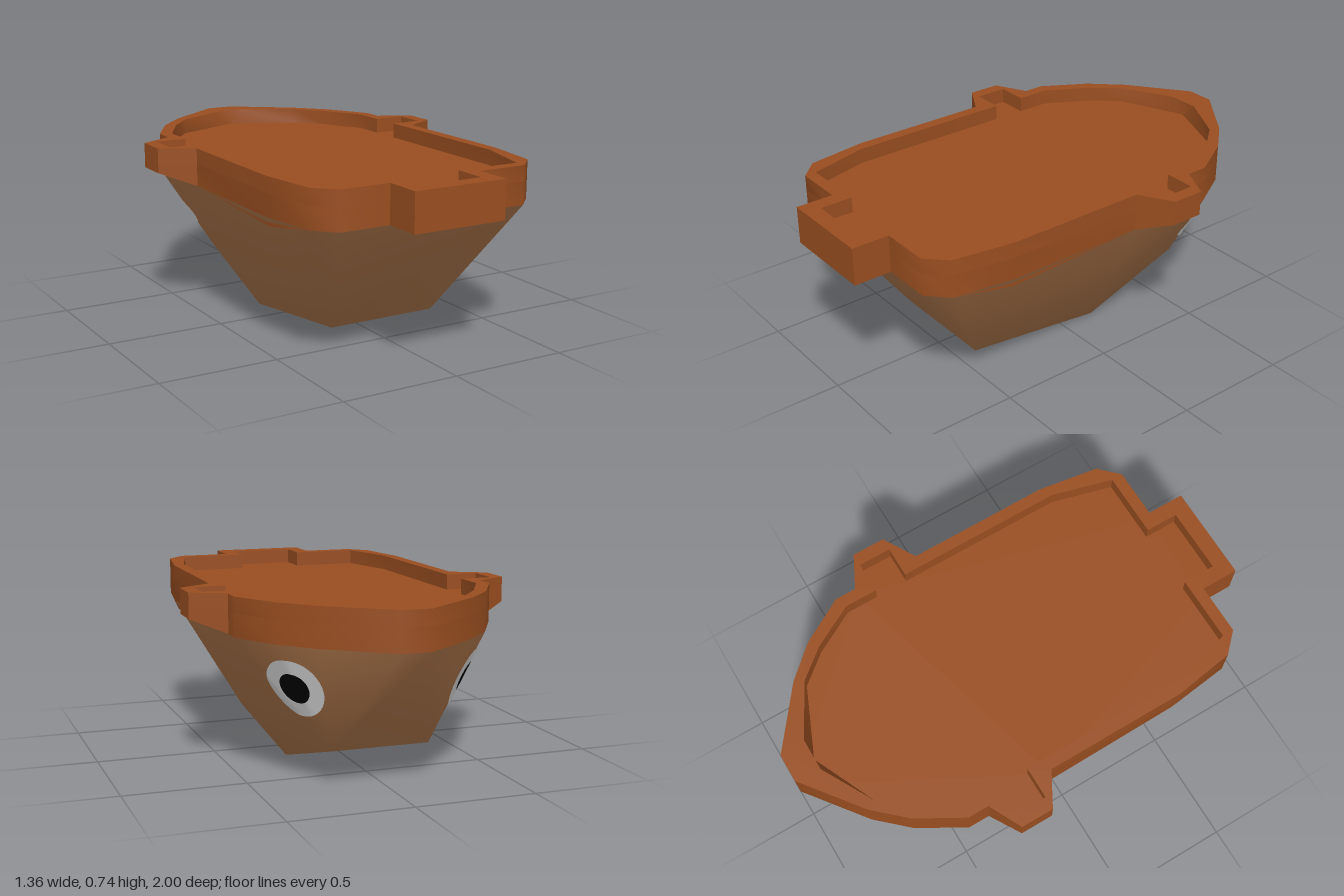
import * as THREE from 'three';
import { toCreasedNormals } from 'three/addons/utils/BufferGeometryUtils.js';

const RIM_BOTTOM = 0.58, DECK = 0.675, RIM_TOP = 0.74, CREASE = 0.8;

// Half outlines as [x, z], running from bow (-z) to stern (+z)
const OUTER = [[0.06, -1], [0.31, -0.81], [0.43, -0.68], [0.54, -0.49], [0.54, -0.4], [0.68, -0.33],
  [0.68, -0.19], [0.54, -0.11], [0.54, 0.5], [0.5, 0.76], [0.42, 0.84], [0.205, 0.84], [0.205, 1]];
const INNER = [[0.07, -0.89], [0.29, -0.77], [0.39, -0.65], [0.49, -0.47], [0.49, -0.33], [0.625, -0.33],
  [0.625, -0.19], [0.49, -0.19], [0.49, 0.53], [0.42, 0.79], [0.14, 0.79], [0.14, 0.93]];

// Full closed loop from a half outline
const mirrored = (half) => [...half, ...half.map(([x, ...rest]) => [-x, ...rest]).reverse()];
const toPoints = (half) => mirrored(half).map(([x, z]) => new THREE.Vector2(x, -z));

function slab(shape, y, height) {
  const geo = new THREE.ExtrudeGeometry(shape, { depth: height, bevelEnabled: false });
  return geo.rotateX(-Math.PI / 2).translate(0, y, 0);
}

// Moves each vertex by a rule that edits the vector it is given
function reshape(geo, rule) {
  const p = geo.attributes.position, v = new THREE.Vector3();
  for (let i = 0; i < p.count; i++) {
    rule(v.fromBufferAttribute(p, i));
    p.setXYZ(i, v.x, v.y, v.z);
  }
  return geo;
}

// Faceted hull lofted from the rim outline down to six keel corners
function hullGeometry() {
  // x, z, matching keel station
  const top = mirrored([[0.06, -1, 0], [0.31, -0.81, 0], [0.43, -0.68, 0], [0.54, -0.49, 0],
    [0.54, -0.14, 1], [0.54, 0.5, 2], [0.5, 0.76, 2], [0.42, 0.84, 2]]);
  const keel = mirrored([[0.205, 0.14, -0.65], [0.23, 0, -0.16], [0.24, 0.08, 0.48]]);
  const n = top.length;
  const positions = [...top.flatMap(([x, z]) => [x, RIM_BOTTOM, z]), ...keel.flat()];
  const below = (i) => n + (i < n / 2 ? top[i][2] : 5 - top[i][2]);
  const index = [];
  for (let i = 0; i < n; i++) {
    const j = (i + 1) % n;
    index.push(i, j, below(j));
    if (below(i) !== below(j)) index.push(i, below(j), below(i));
  }
  for (const s of [0, 1]) {
    const a = n + s, b = a + 1, c = n + 4 - s, d = n + 5 - s;
    index.push(a, b, c, a, c, d);
  }
  const geo = new THREE.BufferGeometry();
  geo.setAttribute('position', new THREE.Float32BufferAttribute(positions, 3));
  geo.setIndex(index);
  geo.computeVertexNormals();
  return geo;
}

// Flat ring laid onto the hull surface around a centre
function paintedRing(hull, centre, normal, inner, outer) {
  const turn = new THREE.Quaternion().setFromUnitVectors(new THREE.Vector3(0, 0, 1), normal);
  const inward = normal.clone().negate();
  const geo = reshape(new THREE.RingGeometry(inner, outer, 40, 5), (v) => {
    v.applyQuaternion(turn).add(centre);
    const start = v.clone().addScaledVector(normal, 0.3);
    const hit = new THREE.Raycaster(start, inward).intersectObject(hull)[0];
    if (hit) v.copy(hit.point);
    v.addScaledVector(normal, 0.005);
  });
  geo.computeVertexNormals();
  return geo;
}

export function createModel() {
  const material = (name, color) => new THREE.MeshStandardMaterial({ name, color });
  const darkWood = material('dark wood', 0x994e20);
  const lightWood = material('light wood', 0xb0784c);
  const eyeWhite = material('eye white', 0xe0e0e0);
  const black = material('pupil black', 0x000000);

  const model = new THREE.Group();
  model.name = 'boat';
  const add = (name, geo, mat, parent = model) => {
    const mesh = new THREE.Mesh(geo, mat);
    mesh.name = name;
    parent.add(mesh);
    return mesh;
  };

  const hull = add('hull', hullGeometry(), lightWood);

  // Deck slab: oarlock undersides rise outward, the quarters dip a little
  const deck = reshape(slab(new THREE.Shape(toPoints(OUTER)), RIM_BOTTOM, DECK - RIM_BOTTOM), (v) => {
    if (v.y > RIM_BOTTOM + 0.01) return;
    if (Math.abs(v.x) > 0.6) v.y = 0.635;
    else if (Math.abs(v.z - 0.5) < 0.01) v.set(Math.sign(v.x) * 0.524, 0.54, v.z);
  });
  add('deck', toCreasedNormals(deck, CREASE), darkWood);

  // Raised rim around the deck, its inner wall pinched to a point at the bow
  const outline = new THREE.Shape(toPoints(OUTER));
  outline.holes.push(new THREE.Path(toPoints(INNER).reverse()));
  const rim = reshape(slab(outline, DECK, RIM_TOP - DECK), (v) => {
    if (v.y < DECK + 0.01 && Math.abs(v.z + 0.89) < 0.01) v.x = Math.sign(v.x) * 0.004;
  });
  add('rim', toCreasedNormals(rim, CREASE), darkWood);

  // Painted eyes on both sides of the bow
  for (const side of [1, -1]) {
    const eye = new THREE.Group();
    eye.name = side > 0 ? 'leftEye' : 'rightEye';
    const centre = new THREE.Vector3(side * 0.355, 0.4, -0.65);
    const normal = new THREE.Vector3(side * 0.69, -0.39, -0.61).normalize();
    add('eyeWhite', paintedRing(hull, centre, normal, 0.068, 0.13), eyeWhite, eye);
    add('pupil', paintedRing(hull, centre, normal, 0, 0.068), black, eye);
    model.add(eye);
  }
  return model;
}
